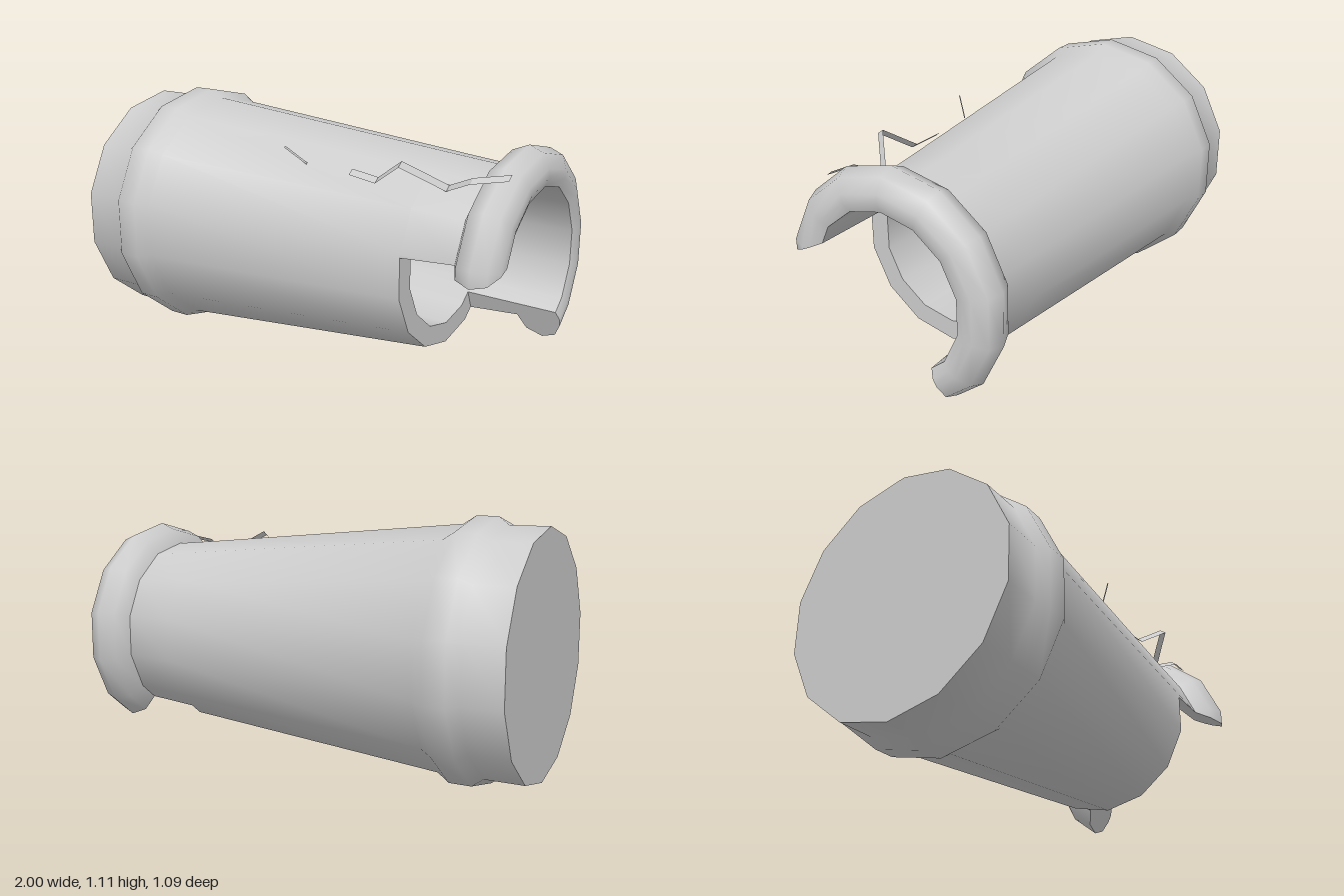
import * as THREE from 'three';
import { toCreasedNormals } from 'three/addons/utils/BufferGeometryUtils.js';

const SIDES = 14, STEP = (Math.PI * 2) / SIDES, CY = 0.557, NOTCH = 0.58;

// Wall profile as [x, radius]: outer skin, rolled lip, then the bore
const PROFILE = [
  [-1, 0.522], [-0.83, 0.522], [-0.785, 0.557], [-0.69, 0.557], [-0.635, 0.522],
  [NOTCH, 0.413], [0.805, 0.394], [0.84, 0.46], [0.91, 0.488], [0.97, 0.463],
  [0.997, 0.405], [1, 0.37], [0.985, 0.333], [NOTCH, 0.326], [-0.8, 0.32],
];
const OUTER_CUT = 5, INNER_CUT = 13;

// Distance factor from the centre to a regular polygon at angle t
function polyFactor(t) {
  const d = t - (Math.floor(t / STEP) + 0.5) * STEP;
  return Math.cos(STEP / 2) / Math.cos(d);
}

// Angle t runs from straight up towards +z
function point([x, r], t) {
  const q = r * polyFactor(t);
  return [x, CY + q * Math.cos(t), q * Math.sin(t)];
}

// Angle at which a straight notch side crosses the polygon of radius r
function crossing(r, z0, y0, dz, dy) {
  let lo = 0, hi = 4;
  const angle = (s) => {
    const a = Math.atan2(z0 + dz * s, y0 + dy * s);
    return a < 0 ? a + Math.PI * 2 : a;
  };
  for (let i = 0; i < 40; i++) {
    const s = (lo + hi) / 2;
    if (Math.hypot(z0 + dz * s, y0 + dy * s) / polyFactor(angle(s)) < r) lo = s; else hi = s;
  }
  return angle(lo);
}
const cutStart = (r) => crossing(r, 0.25, 0.152, 0.175, -0.085);
const cutEnd = (r) => crossing(r, -0.18, -0.204, -0.06, -0.145);

function makeGeometry(triangles, crease) {
  const g = new THREE.BufferGeometry();
  g.setAttribute('position', new THREE.Float32BufferAttribute(triangles.flat(2), 3));
  return toCreasedNormals(g, crease);
}

function addTriangle(out, a, b, c) {
  const [p, q, s] = [a, b, c].map((v) => new THREE.Vector3(...v));
  if (q.sub(p).cross(s.sub(p)).length() > 1e-7) out.push([a, b, c]);
}

// Band between two profile points over an angle range that may depend on radius
function addBand(out, p, q, from, to, steps) {
  const at = (pt, j) => point(pt, Math.min(Math.max(j * STEP, from(pt[1])), to(pt[1])));
  for (let j = 0; j < steps; j++) {
    const a = at(p, j), b = at(p, j + 1), c = at(q, j + 1), d = at(q, j);
    addTriangle(out, a, b, c);
    addTriangle(out, a, c, d);
  }
}

function wallGeometry() {
  const out = [];
  const turn = Math.PI * 2;
  for (let i = 0; i < PROFILE.length - 1; i++) {
    const p = PROFILE[i], q = PROFILE[i + 1];
    if (i >= OUTER_CUT && i < INNER_CUT) {
      addBand(out, p, q, cutEnd, (r) => cutStart(r) + turn, SIDES * 2);
    } else {
      addBand(out, p, q, () => 0, () => turn, SIDES);
    }
  }
  // Step face at the bottom of the notch
  addBand(out, PROFILE[OUTER_CUT], PROFILE[INNER_CUT], cutStart, cutEnd, SIDES);

  // Two straight side faces of the notch
  const section = PROFILE.slice(OUTER_CUT, INNER_CUT + 1);
  const flat = section.map(([x, r]) => new THREE.Vector2(x, r));
  for (const face of THREE.ShapeUtils.triangulateShape(flat, [])) {
    const ccw = THREE.ShapeUtils.area(face.map((i) => flat[i])) > 0;
    const [a, b, c] = ccw ? face : [...face].reverse();
    const near = (i) => point(section[i], cutStart(section[i][1]));
    const far = (i) => point(section[i], cutEnd(section[i][1]));
    addTriangle(out, near(a), near(b), near(c));
    addTriangle(out, far(a), far(c), far(b));
  }
  return makeGeometry(out, 0.95);
}

// Flat polygon closing the tube at a profile point, facing -x or +x
function discGeometry(p, facing) {
  const out = [];
  for (let j = 0; j < SIDES; j++) {
    const a = point(p, j * STEP), b = point(p, (j + 1) * STEP), centre = [p[0], CY, 0];
    out.push(facing > 0 ? [centre, b, a] : [centre, a, b]);
  }
  // Turn the winding round if needed so the face looks the right way
  const [o, a, b] = out[0].map((v) => new THREE.Vector3(...v));
  const nx = a.sub(o).cross(b.sub(o)).x;
  return makeGeometry(nx * facing > 0 ? out : out.map(([u, v, w]) => [u, w, v]), 0.5);
}

// Zigzag ribbon following a path, widened along the given direction
function ribbonGeometry(path, half) {
  const out = [];
  const edge = ([x, y, z], s) => [x + s * half[0], y + s * half[1], z + s * half[2]];
  for (let i = 0; i < path.length - 1; i++) {
    const a = edge(path[i], -1), b = edge(path[i], 1);
    const c = edge(path[i + 1], 1), d = edge(path[i + 1], -1);
    out.push([a, b, c], [a, c, d]);
  }
  return makeGeometry(out, 0.1);
}

export function createModel() {
  const group = new THREE.Group();
  const grey = new THREE.MeshStandardMaterial({ color: 0xcccccc });
  grey.name = 'light grey';
  const thinGrey = grey.clone();
  thinGrey.side = THREE.DoubleSide;

  const add = (name, geometry, material = grey) => {
    const mesh = new THREE.Mesh(geometry, material);
    mesh.name = name;
    group.add(mesh);
  };

  add('notchedTube', wallGeometry());
  add('closedEnd', discGeometry(PROFILE[0], -1));
  add('boreFloor', discGeometry(PROFILE[PROFILE.length - 1], 1));

  // Crack ribbons lifting off the surface
  add('longCrack', ribbonGeometry([
    [0.27, 0.905, 0.275], [0.405, 0.893, 0.295], [0.545, 0.988, 0.355],
    [0.685, 0.888, 0.23], [0.81, 0.945, 0.283], [0.955, 0.972, 0.26],
  ], [0, 0.01, -0.013]), thinGrey);
  add('shortCrack', ribbonGeometry([
    [0, 0.988, 0.352], [0.06, 0.912, 0.283],
  ], [0.001, 0.003, -0.003]), thinGrey);

  return group;
}
